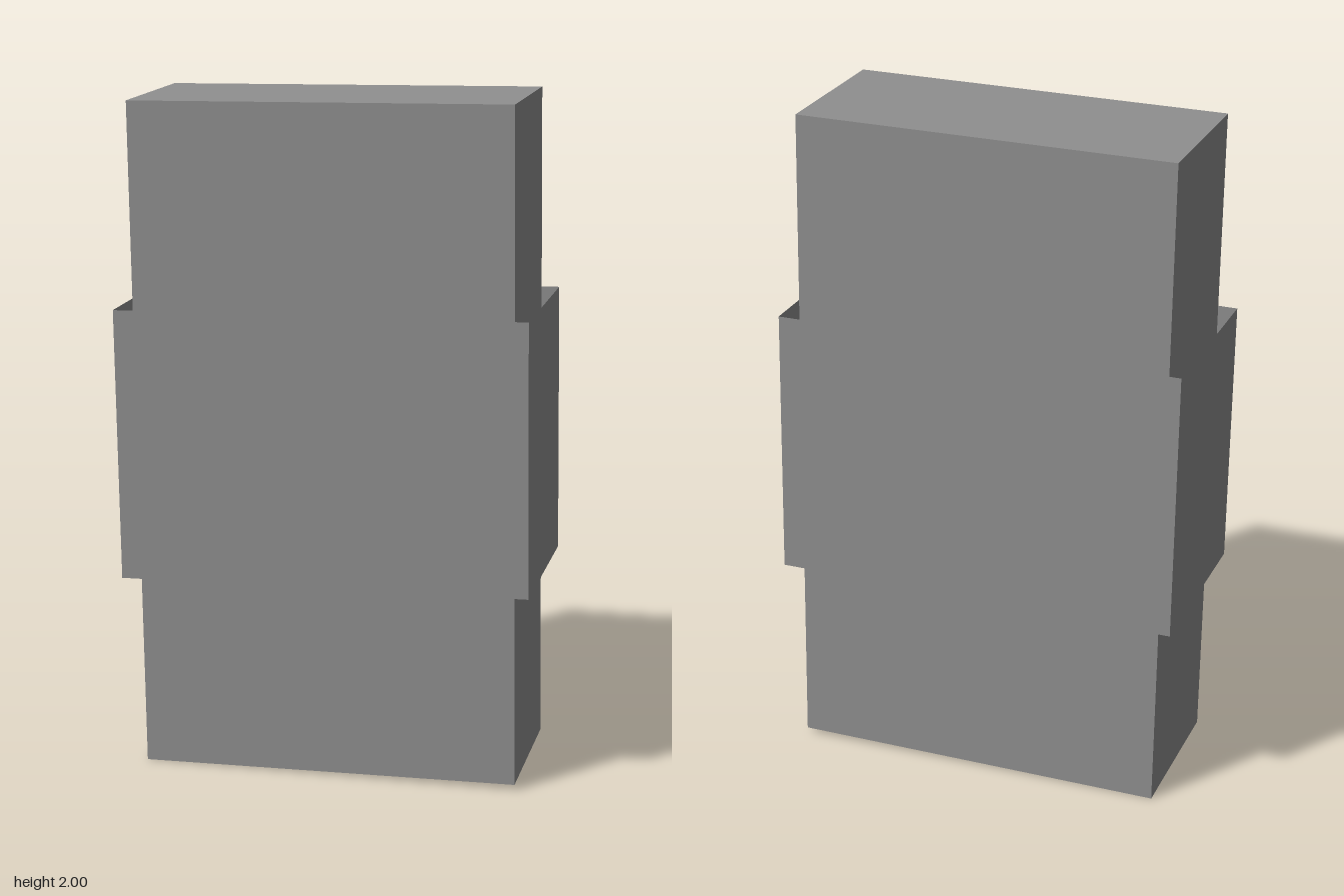
import * as THREE from 'three';

export function createModel() {
  const model = new THREE.Group();
  model.name = 'sleevedBox';
  const color = 0x909090;

  // Closed inner box
  const box = new THREE.Mesh(
    new THREE.BoxGeometry(1.119, 1.983, 0.481),
    new THREE.MeshStandardMaterial({ color })
  );
  box.name = 'innerBox';
  box.position.y = 1;

  // Thin wrap-around sleeve: a four-sided tube, open at top and bottom
  const r = Math.SQRT1_2;
  const band = new THREE.CylinderGeometry(r, r, 1, 4, 1, true);
  band.rotateY(Math.PI / 4);
  band.scale(1.212, 0.804, 0.565);
  const sleeveGeometry = band.toNonIndexed();
  sleeveGeometry.computeVertexNormals();
  const sleeve = new THREE.Mesh(
    sleeveGeometry,
    new THREE.MeshStandardMaterial({ color, flatShading: true, side: THREE.DoubleSide })
  );
  sleeve.name = 'sleeve';
  sleeve.position.y = 0.99;

  // Both parts lean slightly to one side
  for (const part of [box, sleeve]) {
    part.rotation.z = 0.015;
    model.add(part);
  }
  return model;
}
